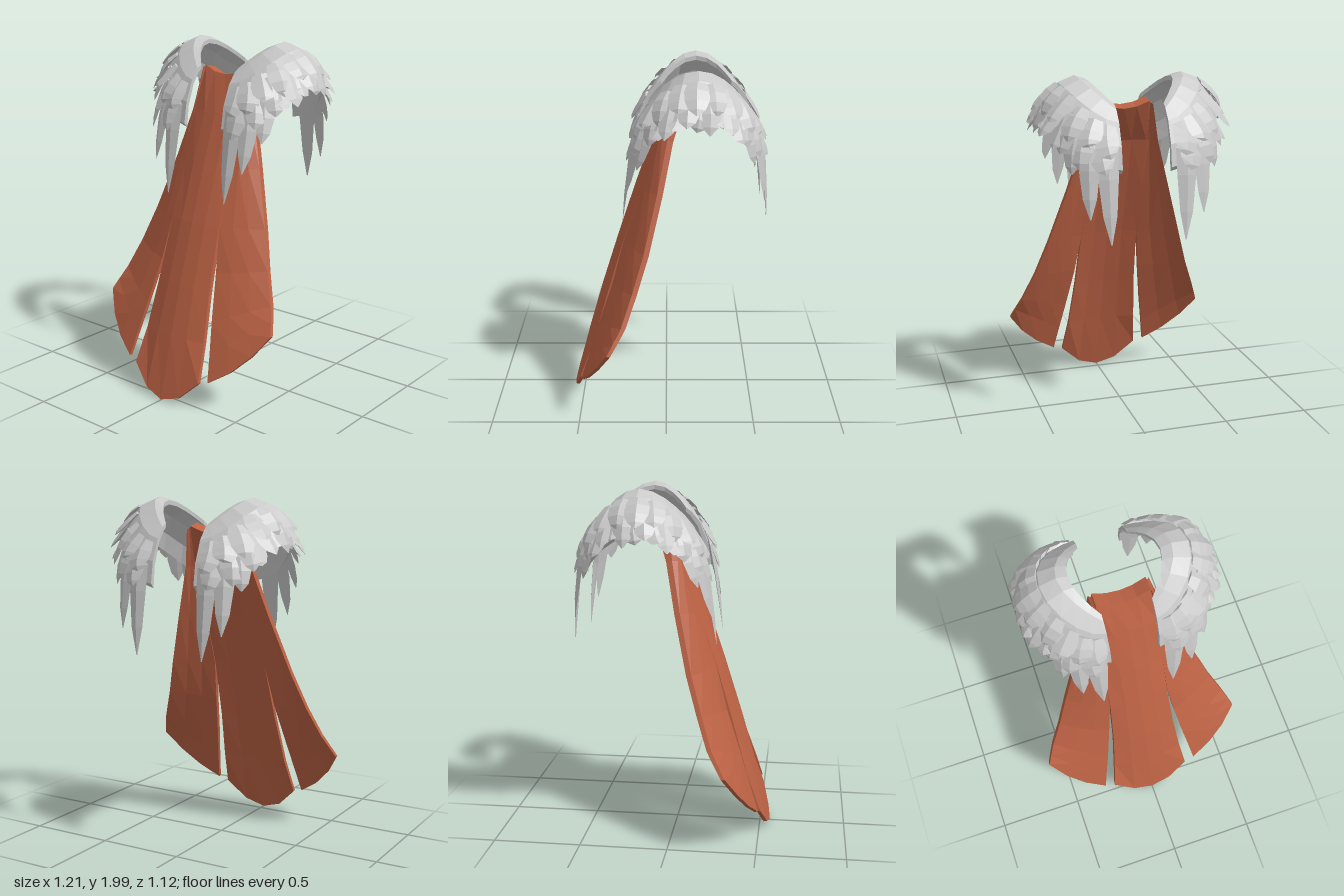
import * as THREE from 'three';

const V = (x, y, z) => new THREE.Vector3(x, y, z);

// Closed flat-shaded solid through rings of equal point count, capped at both ends
function loft(rings) {
  const m = rings[0].length, pos = [];
  const tri = (a, b, c) => pos.push(...a.toArray(), ...b.toArray(), ...c.toArray());
  const quad = (a, b, c, d) => { tri(a, b, c); tri(a, c, d); };
  for (let i = 0; i < rings.length - 1; i++) {
    const p = rings[i], q = rings[i + 1];
    for (let j = 0; j < m; j++) {
      const k = (j + 1) % m;
      quad(p[j], p[k], q[k], q[j]);
    }
  }
  const first = rings[0], last = rings[rings.length - 1];
  for (let i = 0; i < m / 2 - 1; i++) {
    quad(first[m - 1 - i], first[m - 2 - i], first[i + 1], first[i]);
    quad(last[i], last[i + 1], last[m - 2 - i], last[m - 1 - i]);
  }
  // Turn all faces outward, judged by the signed volume
  let volume = 0;
  const a = V(), b = V(), c = V();
  for (let i = 0; i < pos.length; i += 9) {
    a.fromArray(pos, i); b.fromArray(pos, i + 3); c.fromArray(pos, i + 6);
    volume += a.dot(b.cross(c));
  }
  if (volume < 0) {
    for (let i = 0; i < pos.length; i += 9) {
      for (let k = 0; k < 3; k++) {
        [pos[i + 3 + k], pos[i + 6 + k]] = [pos[i + 6 + k], pos[i + 3 + k]];
      }
    }
  }
  const g = new THREE.BufferGeometry();
  g.setAttribute('position', new THREE.Float32BufferAttribute(pos, 3));
  g.computeVertexNormals();
  return g;
}

// Cloth slab: rows of front points, thick at the collar and thin at the hem
function slab(rows) {
  return loft(rows.map((row, i) => {
    const t = i === 0 ? 0.08 : 0.035 - 0.015 * i / (rows.length - 1);
    const back = row.map(p => p.clone().add(V(0, -0.2 * t, -t)));
    return [...row, ...back.reverse()];
  }));
}

// Shoulder shell rows from the inner rim over the ridge to the hem:
// x radius, z radius, height at the middle, fall towards the ends, fullness power
const SHELL = [
  [0.11, 0.20, 1.98, 0.12, 2],
  [0.17, 0.23, 2.00, 0.16, 1.8],
  [0.26, 0.28, 1.965, 0.185, 1.2],
  [0.33, 0.33, 1.88, 0.22, 1],
  [0.365, 0.35, 1.79, 0.25, 1],
];
function shellPoint(angle, v) {
  const i = Math.min(Math.floor(v), SHELL.length - 2), f = v - i;
  const [rx, rz, y, fall, power] = SHELL[i].map((n, k) => n + (SHELL[i + 1][k] - n) * f);
  const s = Math.sin(angle), c = Math.max(0, Math.cos(angle));
  return V(0.135 + rx * c ** power, y - fall * s * s, -0.17 + rz * s);
}

// Feather: pointed, softly ridged leaf that passes over the point "over"
function feather(base, over, tip, out, width, side) {
  const control = over.clone().multiplyScalar(2).sub(base.clone().lerp(tip, 0.5));
  const curve = new THREE.QuadraticBezierCurve3(base, control, tip);
  const profile = [[0, 0.7], [0.3, 1], [0.6, 0.95], [0.85, 0.65], [1, 0.05]];
  return loft(profile.map(([t, w]) => {
    const p = curve.getPoint(t), h = width * w / 2, along = curve.getTangent(t);
    const across = along.clone().cross(out).normalize();
    const up = across.clone().cross(along).normalize();
    return [
      p.clone().addScaledVector(across, -h),
      p.clone().addScaledVector(up, h * 0.3),
      p.clone().addScaledVector(across, h),
      p.clone().addScaledVector(up, -h * 0.1),
    ].map(q => V(q.x * side, q.y, q.z));
  }));
}

// Feather layers: base row and mid row on the shell, angles in degrees, width, tip rule
const LAYERS = [
  { name: 'longFeather', v: 2.8, over: 3.9, width: 0.115, angles: [-85, -68, -52, -36, -18, 0, 18, 36, 52, 68, 85],
    tip: (s, c) => V(0.175 + 0.37 * c, 1.74 - 0.6 * s ** 4, -0.157 + 0.405 * s) },
  { name: 'middleFeather', v: 2.5, over: 3.5, width: 0.13, angles: [-80, -60, -43, -26, -9, 9, 26, 43, 60, 80],
    tip: (s, c) => V(0.165 + 0.395 * c, 1.74 - 0.24 * s * s, -0.165 + 0.39 * s) },
  { name: 'shortFeather', v: 2.1, over: 2.9, width: 0.135, angles: [-84, -66, -48, -30, -14, 2, 17, 34, 51, 68, 84],
    tip: (s, c) => V(0.165 + 0.365 * c, 1.82 - 0.2 * s * s, -0.17 + 0.375 * s) },
];

export function createModel() {
  const cloth = new THREE.MeshStandardMaterial({ color: 0xbc6244 });
  const plume = new THREE.MeshStandardMaterial({ color: 0xc9c9c9 });
  const model = new THREE.Group();
  const add = (parent, name, geometry, material) => {
    const mesh = new THREE.Mesh(geometry, material);
    mesh.name = name;
    parent.add(mesh);
  };
  cloth.name = 'rust cloth';
  plume.name = 'grey plumage';

  const cape = new THREE.Group();
  cape.name = 'cape';
  model.add(cape);

  // Centre tail: half width, edge y, edge z, middle y, middle z
  const centre = [
    [0.145, 1.85, -0.025, 1.81, -0.015],
    [0.165, 1.6, 0.045, 1.6, 0.07],
    [0.172, 1.3, 0.14, 1.3, 0.175],
    [0.172, 1.0, 0.245, 1.0, 0.275],
    [0.19, 0.65, 0.35, 0.65, 0.385],
    [0.215, 0.37, 0.43, 0.37, 0.465],
    [0.24, 0.16, 0.51, 0.01, 0.56],
  ];
  add(cape, 'centreTail', slab(centre.map(([h, ye, ze, ym, zm]) =>
    [-1, -0.5, 0, 0.5, 1].map(u => V(h * u, ym + (ye - ym) * u * u, zm + (ze - zm) * u * u)))), cloth);

  // Side tails: inner point, then outer point
  const sideTail = [
    [0.145, 1.85, -0.025, 0.165, 1.83, -0.03],
    [0.165, 1.6, 0.045, 0.22, 1.6, -0.005],
    [0.172, 1.3, 0.14, 0.305, 1.32, 0.05],
    [0.174, 1.0, 0.243, 0.405, 1.0, 0.125],
    [0.205, 0.75, 0.31, 0.475, 0.79, 0.19],
    [0.245, 0.5, 0.395, 0.545, 0.62, 0.25],
    [0.275, 0.33, 0.45, 0.58, 0.54, 0.295],
    [0.3, 0.18, 0.5, 0.605, 0.48, 0.33],
  ];
  for (const side of [1, -1]) {
    const label = side > 0 ? 'left' : 'right';
    add(cape, label + 'Tail', slab(sideTail.map(([x0, y0, z0, x1, y1, z1], i) =>
      [0, 0.33, 0.67, 1].map(u => {
        const bulge = u * (1 - u), end = i === sideTail.length - 1 ? 1 : 0;
        return V((x0 + (x1 - x0) * u + 0.08 * end * bulge) * side,
          y0 + (y1 - y0) * u - 0.1 * end * bulge,
          z0 + (z1 - z0) * u + 0.06 * bulge);
      }))), cloth);

    // Shoulder guard: curved shell carrying three layers of feathers
    const guard = new THREE.Group();
    guard.name = label + 'ShoulderGuard';
    model.add(guard);
    const rings = [];
    for (let i = 0; i <= 10; i++) {
      const angle = (-90 + 18 * i) * Math.PI / 180;
      const outer = SHELL.map((_, v) => shellPoint(angle, v));
      const inner = outer.map((p, v) => p.clone().add(
        V(-0.006 * v * Math.cos(angle), -0.025, -0.006 * v * Math.sin(angle))));
      rings.push([...outer, ...inner.reverse()].map(p => V(p.x * side, p.y, p.z)));
    }
    add(guard, 'shell', loft(rings), plume);

    LAYERS.forEach(({ name, v, over, width, angles, tip }, layer) => angles.forEach((deg, i) => {
      const angle = deg * Math.PI / 180, s = Math.sin(angle), c = Math.cos(angle);
      const out = V(c, 0.5, s).normalize();
      const inset = 0.05 * s ** 4;
      const base = shellPoint(angle, v).addScaledVector(out, -0.004);
      const middle = shellPoint(angle, over).addScaledVector(out, 0.006 + 0.003 * layer);
      base.x += inset;
      middle.x += inset;
      const end = tip(s, c).addScaledVector(out, 0.018 * Math.sin(i * 2.3 + layer) * c);
      end.y += 0.02 * Math.sin(i * 3.7 + layer * 2);
      add(guard, name, feather(base, middle, end, out, width, side), plume);
    }));
  }
  return model;
}
